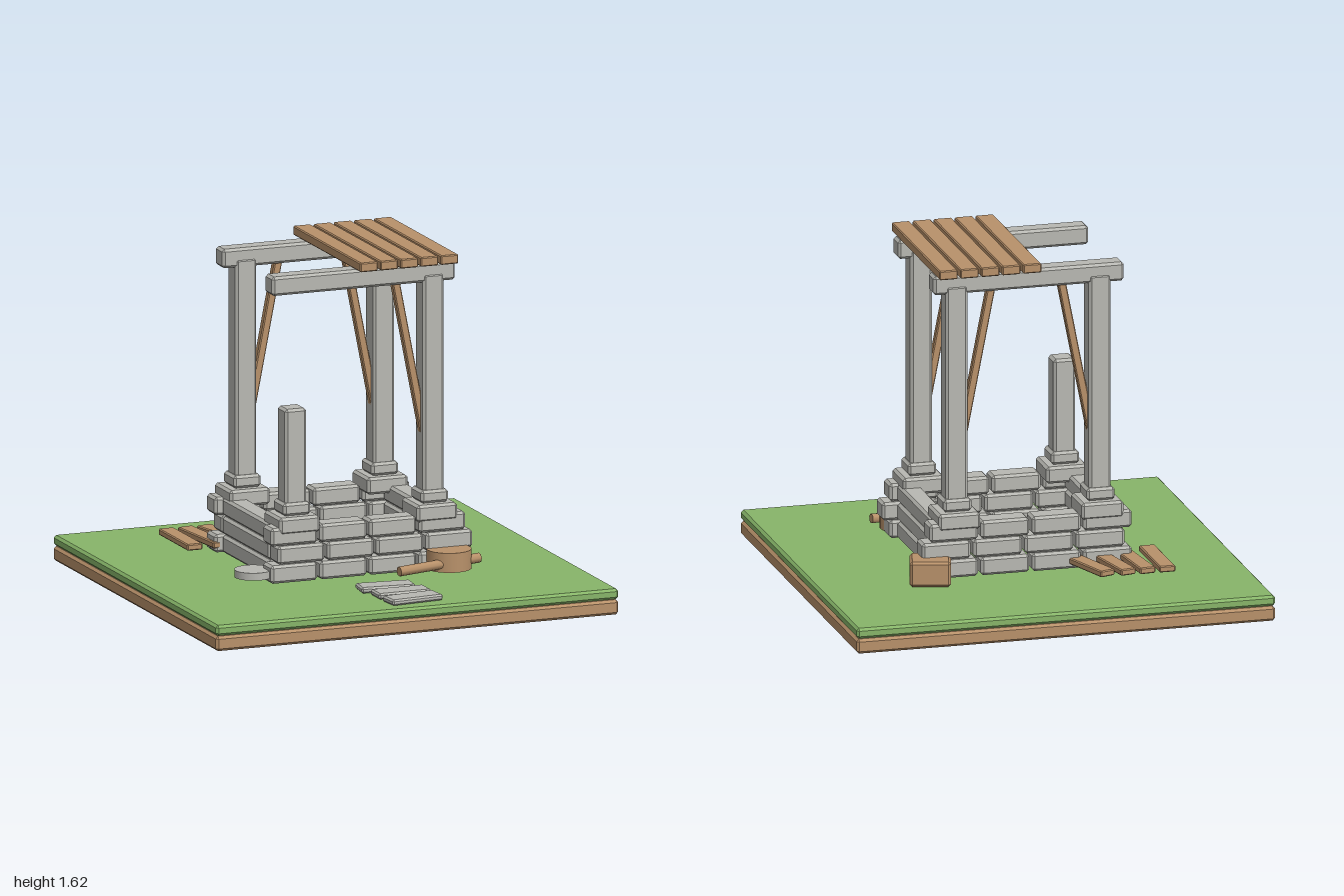
import * as THREE from 'three';
import { ConvexGeometry } from 'three/addons/geometries/ConvexGeometry.js';

const stone = new THREE.MeshStandardMaterial({ color: 0xb8b8b2 });
stone.name = 'stone';
const wood = new THREE.MeshStandardMaterial({ color: 0xb8916a });
wood.name = 'wood';
const grass = new THREE.MeshStandardMaterial({ color: 0x87b569 });
grass.name = 'grass';

// Box with chamfered edges and flat faces
function chamferBox(w, h, d, c) {
  const half = [w / 2, h / 2, d / 2];
  const points = [];
  for (let full = 0; full < 3; full++) {
    for (const sx of [-1, 1]) for (const sy of [-1, 1]) for (const sz of [-1, 1]) {
      const p = [sx, sy, sz].map((s, i) => s * (half[i] - (i === full ? 0 : c)));
      points.push(new THREE.Vector3(...p));
    }
  }
  return new ConvexGeometry(points);
}

export function createModel() {
  const model = new THREE.Group();
  model.name = 'ruinedWell';

  function add(name, geometry, material, x, y, z, turn = 0) {
    const mesh = new THREE.Mesh(geometry, material);
    mesh.name = name;
    mesh.position.set(x, y, z);
    mesh.rotation.y = turn;
    model.add(mesh);
    return mesh;
  }

  // Stretch a part built along y between two points
  function addBetween(name, geometry, material, a, b) {
    const mid = a.clone().add(b).multiplyScalar(0.5);
    const mesh = add(name, geometry, material, mid.x, mid.y, mid.z);
    mesh.quaternion.setFromUnitVectors(new THREE.Vector3(0, 1, 0), b.clone().sub(a).normalize());
  }

  // Ground slab
  add('soil', chamferBox(2, 0.07, 2, 0.012), wood, 0, 0.035, 0);
  add('turf', chamferBox(2, 0.05, 2, 0.012), grass, 0, 0.097, 0);

  // Low wall: three courses, the middle one shifted sideways
  const brick = chamferBox(0.232, 0.085, 0.11, 0.012);
  const sideStone = chamferBox(0.1, 0.085, 0.575, 0.012);
  for (let row = 0; row < 3; row++) {
    const y = 0.185 + row * 0.088;
    const shift = row === 1 ? 0.035 : 0;
    for (const side of [-1, 1]) {
      for (let i = 0; i < 4; i++) {
        add('wallBrick', brick, stone, -0.367 + i * 0.245 + shift, y, side * 0.343);
      }
      add('sideWallStone', sideStone, stone, side * 0.4, y, 0);
    }
  }

  // Posts on stepped footings; the front right one is broken off
  const footing = chamferBox(0.2, 0.08, 0.2, 0.012);
  const collar = chamferBox(0.135, 0.06, 0.135, 0.012);
  for (const sx of [-1, 1]) for (const sz of [-1, 1]) {
    const broken = sx < 0 && sz > 0;
    const x = sx * 0.342, z = sz * 0.303;
    const top = broken ? 0.95 : 1.53;
    add('footing', footing, stone, x, 0.41, z);
    add('collar', collar, stone, x, 0.48, z);
    add(broken ? 'brokenPost' : 'post', chamferBox(0.105, top - 0.45, 0.105, 0.012),
      stone, x, (top + 0.45) / 2, z);
    if (!broken) {
      // Diagonal brace from post to beam
      addBetween('brace', chamferBox(0.038, 0.83, 0.038, 0.005), wood,
        new THREE.Vector3(sx * 0.32, 0.72, z), new THREE.Vector3(sx * 0.16, 1.54, z));
    }
  }

  // Top beams
  const beam = chamferBox(0.91, 0.09, 0.095, 0.012);
  for (const sz of [-1, 1]) add('beam', beam, stone, -0.003, 1.535, sz * 0.303);

  // Remaining roof planks
  const roofPlank = chamferBox(0.087, 0.044, 0.824, 0.005);
  for (let i = 0; i < 5; i++) add('roofPlank', roofPlank, wood, -0.002 + i * 0.1, 1.603, 0);

  // Fallen planks behind the wall
  const fallenPlank = chamferBox(0.076, 0.03, 0.355, 0.005);
  [[-0.583, 0], [-0.472, 0.1], [-0.363, 0.2], [-0.245, 0.32]].forEach(([x, turn]) =>
    add('fallenPlank', fallenPlank, wood, x, 0.18, -0.465, turn));

  // Paving slabs in front
  const slab = chamferBox(0.262, 0.028, 0.11, 0.008);
  [[-0.003, 0.615, -0.1], [0.02, 0.745, 0], [0.025, 0.875, 0.1]].forEach(([x, z, turn]) =>
    add('pavingSlab', slab, stone, x, 0.138, z, turn));

  // Crate, bucket, pole and round stone
  add('crate', chamferBox(0.19, 0.12, 0.165, 0.012), wood, 0.482, 0.19, -0.395, -0.26);
  add('bucket', new THREE.CylinderGeometry(0.104, 0.104, 0.092, 24), wood, 0.387, 0.198, 0.43);
  addBetween('pole', new THREE.CylinderGeometry(0.023, 0.023, 0.43, 8), wood,
    new THREE.Vector3(0.1, 0.18, 0.525), new THREE.Vector3(0.525, 0.195, 0.46));
  add('roundStone', new THREE.CylinderGeometry(0.088, 0.088, 0.035, 24), stone, -0.535, 0.183, 0.305);

  return model;
}
